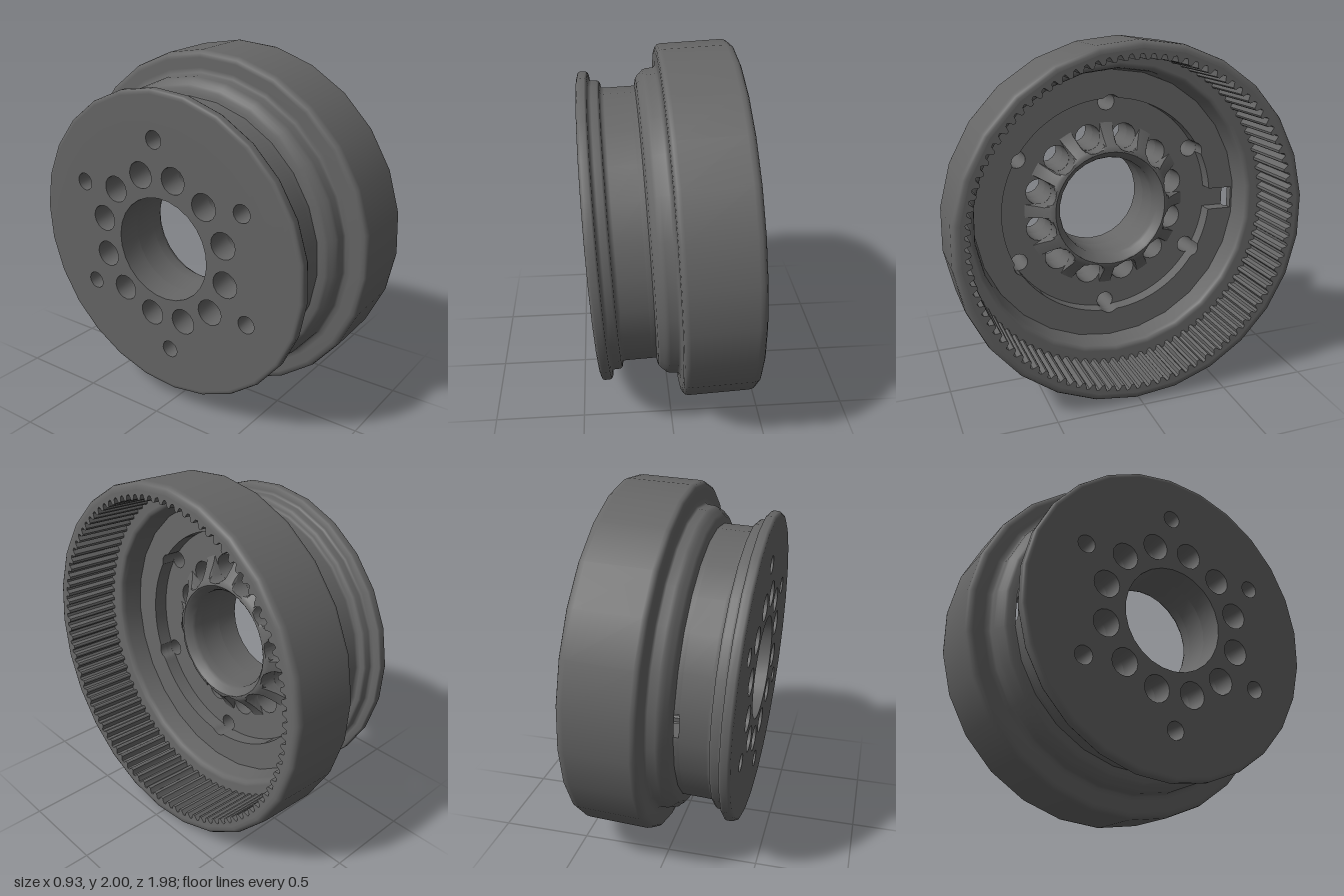
import * as THREE from 'three';
import { toCreasedNormals } from 'three/addons/utils/BufferGeometryUtils.js';

const SIDES = 26;
const TEETH = 96;
const material = new THREE.MeshStandardMaterial({ color: 0x666666 });
const BOLTS = { count: 6, pitch: 0.61, r: 0.05, offset: Math.PI / 2 };
const VENTS = { count: 12, pitch: 0.42, r: 0.075, offset: Math.PI / 12 };

// Polygon points of a circle, first corner at the top
function ring(r, n = SIDES, cx = 0, cy = 0) {
  return Array.from({ length: n }, (_, i) => {
    const a = Math.PI / 2 + (i / n) * Math.PI * 2;
    return new THREE.Vector2(cx + r * Math.cos(a), cy + r * Math.sin(a));
  });
}

// Circle of holes spread evenly around the axle
function holeCircle({ count, pitch, r, offset }) {
  return Array.from({ length: count }, (_, i) => {
    const a = offset + (i / count) * Math.PI * 2;
    return ring(r, 16, pitch * Math.cos(a), pitch * Math.sin(a));
  });
}

// Radius where a ray at angle a meets the near (-1) or far (+1) edge of a hole
function holeEdge(a, { count, pitch, r, offset }, side, fallback) {
  const step = (Math.PI * 2) / count;
  const off = a - offset - Math.round((a - offset) / step) * step;
  const under = r ** 2 - (pitch * Math.sin(off)) ** 2;
  return under > 0 ? pitch * Math.cos(off) + side * Math.sqrt(under) : fallback;
}

export function createModel() {
  const wheel = new THREE.Group();
  wheel.name = 'wheelDrum';

  const add = (name, geometry) => {
    const mesh = new THREE.Mesh(geometry, material);
    mesh.name = name;
    wheel.add(mesh);
  };

  // Smooth turned surface about the x axis from [radius, axial position] pairs
  const turned = (name, profile) => {
    const points = profile.map(([r, d]) => new THREE.Vector2(r, d));
    add(name, new THREE.LatheGeometry(points, SIDES, Math.PI / 2).rotateZ(-Math.PI / 2));
  };

  // Flat slab along the x axis between two axial positions
  const slab = (name, outline, holes, from, to) => {
    const shape = new THREE.Shape(outline);
    shape.holes = holes.map((h) => new THREE.Path(h));
    const g = new THREE.ExtrudeGeometry(shape, { depth: to - from, bevelEnabled: false });
    add(name, toCreasedNormals(g.translate(0, 0, from).rotateY(Math.PI / 2), 0.55));
  };

  // Rear flange, lip and groove
  turned('rearFlange', [
    [0.7, -0.42], [0.845, -0.42], [0.857, -0.419], [0.867, -0.414], [0.871, -0.404], [0.871, -0.375], [0.866, -0.364],
    [0.835, -0.36], [0.822, -0.358], [0.819, -0.345], [0.818, -0.315], [0.81, -0.303], [0.79, -0.3],
    [0.777, -0.296], [0.775, -0.28], [0.775, -0.14],
  ]);

  // Shoulder and large outer drum
  turned('outerDrum', [
    [0.775, -0.113], [0.785, -0.11], [0.815, -0.105], [0.83, -0.094], [0.843, -0.078], [0.858, -0.064],
    [0.864, -0.045], [0.866, -0.005], [0.875, 0.007], [0.9, 0.01], [0.955, 0.011], [0.976, 0.015], [0.988, 0.027],
    [0.992, 0.045], [0.992, 0.375], [0.989, 0.395], [0.98, 0.41], [0.965, 0.417], [0.95, 0.418],
  ]);

  // Inner gear ring
  const toothed = [];
  for (let i = 0; i < TEETH; i++) {
    [[0, 0.925], [0.25, 0.92], [0.42, 0.896], [0.58, 0.893], [0.75, 0.896], [0.92, 0.92]].forEach(([t, r]) => {
      const a = ((i + t) / TEETH) * Math.PI * 2;
      toothed.push(new THREE.Vector2(r * Math.cos(a), r * Math.sin(a)));
    });
  }
  slab('gearRing', ring(0.95), [toothed], 0.075, 0.418);

  // Inner ledge and tapered wall behind the gear ring
  turned('innerWall', [
    [0.95, 0.08], [0.85, 0.08], [0.833, 0.077], [0.822, 0.066], [0.816, 0.045], [0.802, -0.04], [0.8, -0.055],
  ]);

  // Pierced back plate, its front part reaching out under the radial slot
  const piercings = [ring(0.295), ...holeCircle(VENTS), ...holeCircle(BOLTS)];
  slab('rearPlate', ring(0.7), piercings, -0.42, -0.28);
  slab('middlePlate', ring(0.774), piercings, -0.28, -0.14);

  // Raised hub, tapering to the bore and scalloped by the round holes
  const hubProfile = [
    [0.49, -0.14], [0.465, -0.127], [0.43, -0.102], [0.395, -0.072], [0.367, -0.044], [0.352, -0.033], [0.335, -0.03],
  ];
  const around = 240;
  const positions = [];
  const index = [];
  hubProfile.forEach(([r, d], i) => {
    for (let j = 0; j < around; j++) {
      const a = (j / around) * Math.PI * 2;
      const edge = Math.min(r, holeEdge(a, VENTS, -1, r));
      positions.push(edge * Math.cos(a), edge * Math.sin(a), d);
      if (i === 0) continue;
      const next = (j + 1) % around;
      const low = (i - 1) * around;
      const high = i * around;
      index.push(low + j, low + next, high + j, low + next, high + next, high + j);
    }
  });
  const hub = new THREE.BufferGeometry();
  hub.setAttribute('position', new THREE.Float32BufferAttribute(positions, 3));
  hub.setIndex(index);
  add('hub', toCreasedNormals(hub.rotateY(Math.PI / 2), 0.6));
  turned('bore', [[0.337, -0.03], [0.325, -0.04], [0.303, -0.07], [0.295, -0.09], [0.295, -0.14]]);

  // Front plate: ring with a radial slot and pockets around the bolt holes
  const half = 0.065;
  const inner = [];
  const start = Math.asin(half / 0.64);
  for (let i = 0; i <= 240; i++) {
    const a = Math.PI * 2 - start - (i / 240) * (Math.PI * 2 - 2 * start);
    const r = Math.max(0.64, holeEdge(a, BOLTS, 1, 0.64));
    inner.push(new THREE.Vector2(r * Math.cos(a), r * Math.sin(a)));
  }
  const slotEnd = (x) => [new THREE.Vector2(x, half), new THREE.Vector2(x, -half)];
  slab('frontPlate', ring(0.8), [[...inner, ...slotEnd(0.784)]], -0.1, -0.055);

  // Behind it the slot opens through the groove wall
  const turn = (p) => (Math.atan2(p.y, p.x) + Math.PI * 2) % (Math.PI * 2);
  const outer = ring(0.775).sort((p, q) => turn(p) - turn(q));
  const [slotTop, slotBottom] = slotEnd(0.775 * Math.cos(Math.PI / SIDES));
  slab('slottedPlate', [slotTop, ...outer, slotBottom, ...inner], [], -0.14, -0.1);

  // Slight spin about the axle, then a lean of the whole wheel
  wheel.rotation.set(-0.028, 0, 0.05, 'ZYX');
  wheel.position.y = 0.994;
  const model = new THREE.Group();
  model.name = 'model';
  model.add(wheel);
  return model;
}
